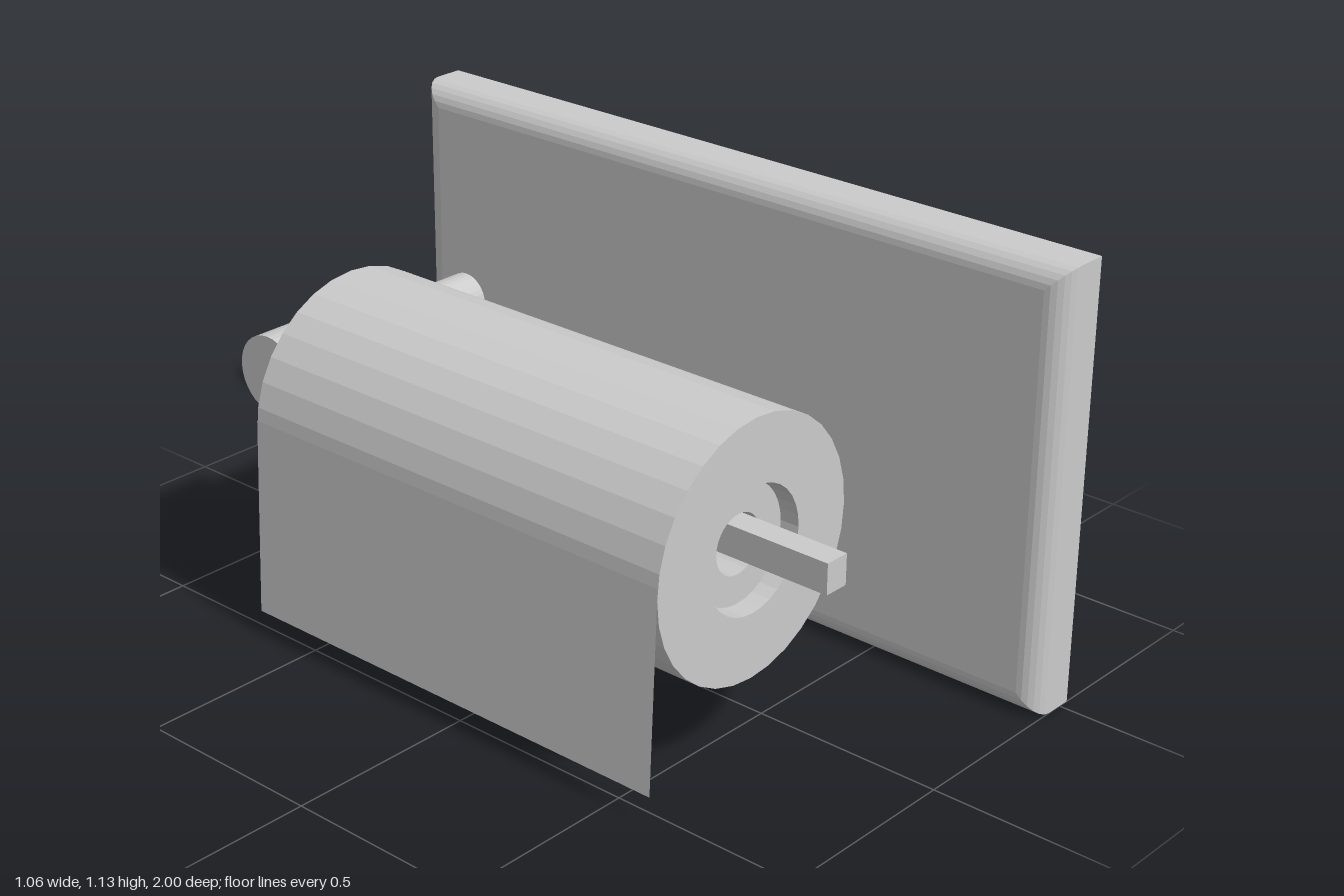
import * as THREE from 'three';

const grey = new THREE.MeshStandardMaterial({ color: 0xcccccc, flatShading: true });
const thin = new THREE.MeshStandardMaterial({ color: 0xcccccc, side: THREE.DoubleSide });

const ROLL = { x: -0.192, y: 0.545, r: 0.322, z0: -0.655, z1: 0.62 };
const ARM = { y: 0.567, z: -0.852 };

function part(name, geometry, material = grey) {
  const mesh = new THREE.Mesh(geometry, material);
  mesh.name = name;
  return mesh;
}

// Hollow cylinder along z, centred on the roll axis
function ring(name, outer, inner, z0, z1) {
  const profile = [[outer, z0], [outer, z1], [inner, z1], [inner, z0], [outer, z0]]
    .map(([r, z]) => new THREE.Vector2(r, z));
  const geo = new THREE.LatheGeometry(profile, 32).rotateX(Math.PI / 2);
  return part(name, geo.translate(ROLL.x, ROLL.y, 0));
}

// Solid cylinder along x at the arm position
function rod(name, radius, x0, x1) {
  const geo = new THREE.CylinderGeometry(radius, radius, x1 - x0, 32).rotateZ(Math.PI / 2);
  return part(name, geo.translate((x0 + x1) / 2, ARM.y, ARM.z));
}

// Wall plate: rectangles stacked along x, shrinking along a quarter round
function plateGeometry(x0, x1, height, halfZ, radius) {
  const steps = 6, pos = [], index = [];
  const loops = [[x1, 0]];
  for (let i = 0; i <= steps; i++) {
    const a = (i / steps) * Math.PI / 2;
    loops.push([x0 + radius * (1 - Math.sin(a)), radius * (1 - Math.cos(a))]);
  }
  for (const [x, d] of loops) {
    pos.push(x, d, halfZ - d, x, d, d - halfZ, x, height - d, d - halfZ, x, height - d, halfZ - d);
  }
  for (let l = 0; l < loops.length - 1; l++) {
    for (let k = 0; k < 4; k++) {
      const a = l * 4 + k, b = l * 4 + (k + 1) % 4;
      index.push(a, a + 4, b, b, a + 4, b + 4);
    }
  }
  const e = (loops.length - 1) * 4;
  index.push(0, 1, 2, 0, 2, 3, e, e + 2, e + 1, e, e + 3, e + 2);
  const geo = new THREE.BufferGeometry();
  geo.setAttribute('position', new THREE.Float32BufferAttribute(pos, 3));
  geo.setIndex(index);
  const flat = geo.toNonIndexed();
  flat.computeVertexNormals();
  return flat;
}

export function createModel() {
  const group = new THREE.Group();
  group.name = 'paperRollHolder';

  group.add(part('wallPlate', plateGeometry(0.397, 0.53, 1.13, 1, 0.058)));

  // Arm with its end cap, and the square bar carrying the roll
  group.add(rod('arm', 0.067, -0.1, 0.4));
  group.add(rod('armCap', 0.103, -0.3, -0.085));
  const bar = new THREE.BoxGeometry(0.066, 0.077, 1.65);
  group.add(part('rollBar', bar.translate(-0.192, ARM.y, 0.025)));

  // Paper roll around a slightly recessed core
  group.add(ring('paperRoll', ROLL.r, 0.157, ROLL.z0, ROLL.z1));
  group.add(ring('rollCore', 0.149, 0.075, ROLL.z0 + 0.045, ROLL.z1 - 0.045));

  // Loose sheet hanging from the outer side, leaning slightly outward
  const top = [-0.513, 0.575], bottom = [-0.534, 0.067];
  const sheet = new THREE.PlaneGeometry(1, 1);
  const p = sheet.attributes.position;
  for (let i = 0; i < p.count; i++) {
    const [x, y] = p.getY(i) > 0 ? top : bottom;
    p.setXYZ(i, x, y, p.getX(i) < 0 ? ROLL.z0 : ROLL.z1);
  }
  sheet.computeVertexNormals();
  group.add(part('looseSheet', sheet, thin));

  return group;
}
